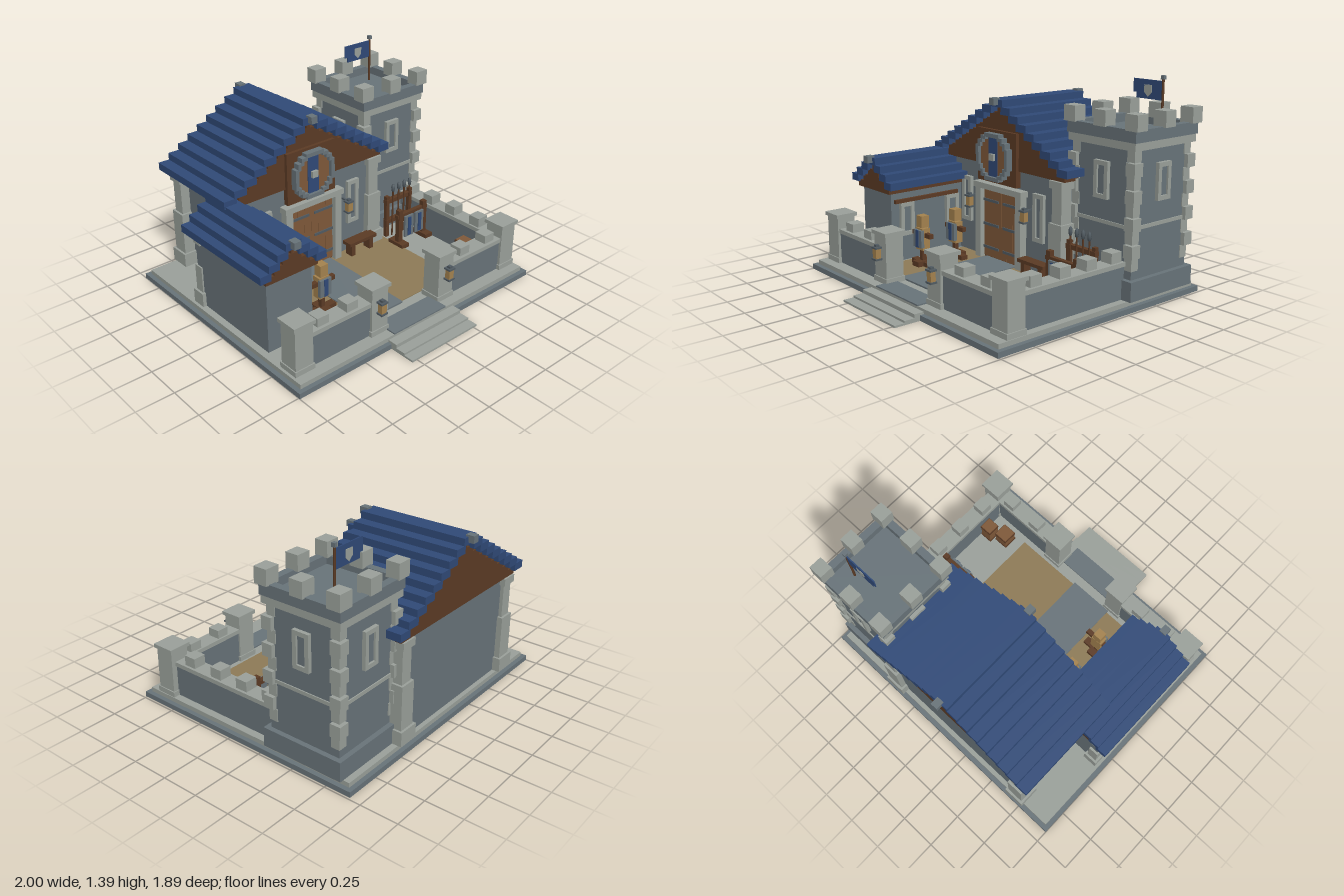
import * as THREE from 'three';

const mat = (name, color) => Object.assign(new THREE.MeshStandardMaterial({ color }), { name });

export function createModel() {
  const slate = mat('slate stone', 0x69747a), light = mat('light stone', 0x9ba19b);
  const blue = mat('blue tile', 0x304a78), brown = mat('dark timber', 0x5c3b25);
  const oak = mat('oak planks', 0x80593a), sand = mat('sandy ground', 0x8e7b57);
  const glow = mat('straw and lamp', 0xa5834f), iron = mat('iron', 0x525c63);

  const root = new THREE.Group();
  let part = root;
  const section = (name) => {
    part = new THREE.Group();
    part.name = name;
    root.add(part);
    return part;
  };
  const add = (name, geo, m, x = 0, y = 0, z = 0) => {
    const mesh = new THREE.Mesh(geo, m);
    mesh.name = name;
    mesh.position.set(x, y, z);
    part.add(mesh);
    return mesh;
  };
  // box from its limits on each axis
  const box = (name, m, x0, x1, y0, y1, z0, z1) =>
    add(name, new THREE.BoxGeometry(x1 - x0, y1 - y0, z1 - z0), m, (x0 + x1) / 2, (y0 + y1) / 2, (z0 + z1) / 2);
  // box from its centre on the ground plane and half sizes
  const block = (name, m, x, z, hx, hz, y0, y1) => box(name, m, x - hx, x + hx, y0, y1, z - hz, z + hz);
  const extrude = (pts, depth, hole) => {
    const s = new THREE.Shape(pts.map(p => new THREE.Vector2(...p)));
    if (hole) s.holes.push(new THREE.Path(hole.map(p => new THREE.Vector2(...p))));
    return new THREE.ExtrudeGeometry(s, { depth, bevelEnabled: false });
  };

  // ground slabs, yard and steps
  section('ground');
  box('lowerSlab', slate, -1, 0.985, 0, 0.035, -0.92, 0.76);
  box('upperSlab', light, -0.97, 0.955, 0.035, 0.065, -0.89, 0.73);
  box('yard', sand, -0.565, 0.525, 0.065, 0.07, -0.25, 0.5);
  box('path', slate, -0.28, 0.04, 0.065, 0.076, -0.25, 0.515);
  box('gateLanding', slate, -0.24, 0.21, 0.065, 0.074, 0.58, 0.732);
  [[0.94, 0.013], [0.87, 0.026], [0.8, 0.05]].forEach(([z, y]) => box('step', light, -0.29, 0.275, 0, y, 0.733, z));

  // stepped tile roof with a timber gable filling it
  const steppedRoof = (cx, top, half0, run, rise, n, z0, z1, base, g0, g1, inset) => {
    const side = [];
    for (let i = 0; i < n; i++) {
      const out = half0 + run * i, y = top - rise * i;
      if (i === 0) box('ridgeTiles', blue, cx - out, cx + out, y - 0.05, y, z0, z1);
      else for (const s of [-1, 1]) {
        block('tileRow', blue, cx + s * (out - run / 2 - 0.008), (z0 + z1) / 2, run / 2 + 0.008, (z1 - z0) / 2, y - 0.05, y);
      }
      side.push([out - inset, y - 0.04], [out - inset, y - 0.04 - (i < n - 1 ? rise : 0)]);
    }
    side[side.length - 1] = [side[side.length - 1][0], base];
    const pts = [...side, ...side.slice().reverse().map(([x, y]) => [-x, y])].reverse();
    add('gableTimber', extrude(pts, g1 - g0), brown, cx, 0, g0);
    for (const z of [z0 - 0.01, z1 + 0.01]) block('ridgeCap', slate, cx, z, 0.024, 0.028, top - 0.035, top + 0.012);
  };
  // wall pier with stepped foot and head
  const pier = (x, z, top, h) => {
    block('pierFoot', light, x, z, h + 0.015, h + 0.015, 0.065, 0.16);
    block('pierLower', light, x, z, h, h, 0.16, top * 0.62);
    block('pierUpper', light, x, z, h - 0.015, h - 0.015, top * 0.62, top - 0.05);
    block('pierHead', light, x, z, h, h, top - 0.05, top);
  };
  // framed window facing +z, turned by angle
  const windowAt = (x, y, z, w, h, angle = 0) => {
    const keep = part, g = new THREE.Group();
    g.name = 'window';
    keep.add(g);
    part = g;
    for (const s of [-1, 1]) {
      block('jamb', light, s * (w / 2 - 0.014), 0, 0.014, 0.02, -h / 2, h / 2);
      box('rail', light, -w / 2 + 0.028, w / 2 - 0.028, s * (h / 2 - 0.014) - 0.014, s * (h / 2 - 0.014) + 0.014, -0.02, 0.02);
    }
    box('pane', slate, -w / 2 + 0.028, w / 2 - 0.028, -h / 2 + 0.028, h / 2 - 0.028, 0, 0.007);
    g.position.set(x, y, z);
    g.rotation.y = angle;
    part = keep;
  };
  const lantern = (x, y, z) => {
    block('lampLight', glow, x, z, 0.02, 0.018, y - 0.035, y + 0.035);
    for (const s of [-1, 1]) block('lampPlate', iron, x, z, 0.026, 0.024, y + s * 0.038 - 0.006, y + s * 0.038 + 0.006);
    block('lampTop', iron, x, z, 0.012, 0.012, y + 0.044, y + 0.058);
    box('lampArm', iron, x - 0.006, x + 0.006, y + 0.03, y + 0.042, z - 0.07, z);
  };

  // main hall
  section('hall');
  box('hallWalls', slate, -0.68, 0.4, 0.065, 0.735, -0.86, -0.22);
  steppedRoof(-0.14, 1.187, 0.064, 0.077, 0.0465, 9, -0.915, -0.165, 0.73, -0.885, -0.195, 0.05);
  for (const x of [-0.7, 0.425]) for (const z of [-0.84, -0.235]) pier(x, z, 0.73, 0.058);
  windowAt(-0.495, 0.45, -0.215, 0.1, 0.32);
  windowAt(0.245, 0.45, -0.215, 0.1, 0.32);

  section('door');
  for (let i = 0; i < 6; i++) box('plank', oak, -0.3 + i * 0.06, -0.2415 + i * 0.06, 0.08, 0.565, -0.225, -0.2);
  box('doorBack', brown, -0.3, 0.06, 0.07, 0.565, -0.225, -0.206);
  for (const y of [0.145, 0.31, 0.48]) for (const [a, b] of [[-0.3, -0.145], [-0.1, 0.06]])
    box('hingeStrap', iron, a, b, y - 0.009, y + 0.009, -0.2, -0.193);
  for (const x of [-0.328, 0.085]) block('doorPost', light, x, -0.2, 0.027, 0.035, 0.065, 0.565);
  box('lintel', light, -0.365, 0.125, 0.565, 0.605, -0.24, -0.155);
  for (const x of [-0.4, 0.165]) lantern(x, 0.455, -0.15);

  // round crest panel above the door
  section('crest');
  box('crestBoard', brown, -0.335, 0.06, 0.62, 0.98, -0.21, -0.172);
  const corner = [[1, 0.45], [0.87, 0.45], [0.87, 0.68], [0.68, 0.68], [0.68, 0.87], [0.45, 0.87], [0.45, 1]];
  const disc = (r) => {
    const flip = corner.slice().reverse();
    return [...corner, ...flip.map(([x, y]) => [-x, y]), ...corner.map(([x, y]) => [-x, -y]), ...flip.map(([x, y]) => [x, -y])]
      .map(([x, y]) => [x * r, y * r]);
  };
  add('crestRim', extrude(disc(0.16), 0.05, disc(0.133)), slate, -0.14, 0.802, -0.175);
  add('crestField', extrude(disc(0.134), 0.025), oak, -0.14, 0.802, -0.175);
  box('crestStripe', blue, -0.187, -0.1, 0.67, 0.934, -0.15, -0.144);
  box('crestBoss', light, -0.163, -0.118, 0.78, 0.825, -0.15, -0.125);

  // side wing
  section('wing');
  box('wingWalls', slate, -0.925, -0.59, 0.065, 0.56, -0.35, 0.375);
  steppedRoof(-0.755, 0.78, 0.055, 0.062, 0.048, 4, -0.39, 0.425, 0.55, -0.37, 0.405, 0.05);
  box('sideBeam', brown, -0.6, -0.57, 0.475, 0.5, -0.18, 0.35);
  for (const z of [0.255, -0.13]) windowAt(-0.585, 0.36, z, 0.11, 0.23, Math.PI / 2);
  pier(-0.9, -0.33, 0.55, 0.035);

  // corner tower
  const tower = section('tower'), cx = 0, cz = 0;
  tower.position.set(0.698, 0, -0.565);
  block('towerFoot', slate, cx, cz, 0.283, 0.283, 0.065, 0.19);
  block('towerWalls', slate, cx, cz, 0.25, 0.25, 0.19, 1.05);
  block('stringCourse', light, cx, cz, 0.257, 0.257, 0.5, 0.523);
  for (const sx of [-1, 1]) for (const sz of [-1, 1]) for (let i = 0; i < 9; i++) {
    const h = i % 2 ? 0.036 : 0.03, edge = i % 2 ? 0.278 : 0.256;
    block('quoin', light, sx * (edge - h), sz * (edge - h), h, h, 0.245 + i * 0.0835, 0.327 + i * 0.0835);
  }
  for (const s of [-1, 1]) {
    windowAt(0, 0.775, s * 0.255, 0.115, 0.235, s > 0 ? 0 : Math.PI);
    windowAt(s * 0.255, 0.775, 0, 0.115, 0.235, s * Math.PI / 2);
    block('parapet', slate, 0, s * 0.258, 0.283, 0.025, 1.035, 1.11);
    block('parapet', slate, s * 0.258, 0, 0.025, 0.233, 1.035, 1.11);
  }
  block('cornice', light, cx, cz, 0.276, 0.276, 0.985, 1.036);
  block('towerDeck', slate, cx, cz, 0.234, 0.234, 1.036, 1.055);
  for (const i of [-1, 0, 1]) for (const k of [-1, 0, 1]) if (i || k)
    block('merlon', light, i * 0.254, k * 0.25, 0.049, 0.045, 1.105, 1.205);

  section('flag');
  add('pole', new THREE.CylinderGeometry(0.008, 0.008, 0.32, 8), brown, 0.83, 1.21, -0.685);
  block('finial', slate, 0.83, -0.685, 0.012, 0.012, 1.365, 1.39);
  add('cloth', extrude([[0.595, 1.27], [0.62, 1.27], [0.62, 1.235], [0.823, 1.235], [0.823, 1.355], [0.595, 1.355]], 0.008), blue, 0, 0, -0.689);
  add('shieldPatch', extrude([[-0.03, 0.035], [-0.03, -0.012], [0, -0.04], [0.03, -0.012], [0.03, 0.035]], 0.014), light, 0.715, 1.288, -0.692);

  // yard walls, posts and merlons
  section('yardWall');
  for (const [x0, x1] of [[-0.82, -0.35], [0.34, 0.82]]) {
    box('frontWall', slate, x0, x1, 0.065, 0.275, 0.54, 0.64);
    box('frontCoping', light, x0, x1, 0.275, 0.303, 0.53, 0.65);
  }
  box('sideWall', slate, 0.81, 0.905, 0.065, 0.275, -0.3, 0.53);
  box('sideCoping', light, 0.8, 0.915, 0.275, 0.303, -0.3, 0.53);
  for (const x of [-0.715, -0.49, 0.482, 0.722]) block('merlon', light, x, 0.585, 0.043, 0.043, 0.303, 0.36);
  for (const z of [0.41, 0.185, -0.03, -0.24]) block('merlon', light, 0.855, z, 0.043, 0.043, 0.303, 0.37);
  for (const x of [-0.88, -0.296, 0.278, 0.878]) {
    block('postFoot', light, x, 0.593, 0.072, 0.072, 0.065, 0.1);
    block('post', light, x, 0.593, 0.065, 0.065, 0.1, 0.38);
    block('postCap', light, x, 0.593, 0.078, 0.078, 0.378, 0.403);
  }
  for (const x of [-0.3, 0.285]) lantern(x, 0.262, 0.682);

  // training dummies
  for (const z of [-0.03, 0.245]) {
    section('trainingDummy').position.set(-0.41, 0, z);
    block('foot', brown, 0, 0, 0.1, 0.025, 0.07, 0.1);
    block('foot', brown, 0, 0, 0.035, 0.065, 0.07, 0.105);
    block('stake', brown, 0, 0, 0.015, 0.015, 0.1, 0.2);
    block('body', glow, 0, 0, 0.04, 0.03, 0.18, 0.33);
    block('armour', slate, 0, 0.034, 0.045, 0.012, 0.2, 0.32);
    block('armourStripe', blue, 0, 0.047, 0.015, 0.003, 0.2, 0.32);
    block('arms', brown, 0, 0, 0.1, 0.016, 0.27, 0.3);
    block('head', glow, 0, 0, 0.03, 0.03, 0.335, 0.415);
  }

  // bench by the hall wall
  section('bench');
  box('seat', brown, 0.145, 0.39, 0.155, 0.178, -0.19, -0.11);
  for (const x of [0.185, 0.35]) block('benchLeg', brown, x, -0.15, 0.017, 0.03, 0.07, 0.156);

  // spear rack and sword stand
  section('weaponRack');
  for (const y of [0.17, 0.33]) box('rackRail', brown, 0.54, 0.79, y, y + 0.03, -0.2, -0.165);
  for (const x of [0.555, 0.775]) block('rackPost', brown, x, -0.183, 0.014, 0.014, 0.065, 0.385);
  for (const x of [0.588, 0.643, 0.697, 0.75]) {
    add('spearShaft', new THREE.CylinderGeometry(0.006, 0.006, 0.36, 6), brown, x, 0.25, -0.157);
    const head = add('spearHead', new THREE.SphereGeometry(0.014, 6, 4), iron, x, 0.45, -0.157);
    head.scale.y = 2.4;
  }
  box('standRail', brown, 0.51, 0.8, 0.28, 0.305, -0.05, -0.02);
  for (const x of [0.537, 0.772]) {
    block('standFoot', brown, x, -0.035, 0.033, 0.07, 0.065, 0.095);
    block('standPost', brown, x, -0.035, 0.018, 0.018, 0.095, 0.34);
  }
  for (const x of [0.6, 0.7]) {
    block('shield', slate, x, -0.005, 0.04, 0.008, 0.13, 0.29);
    block('shieldStripe', blue, x, 0.006, 0.014, 0.003, 0.14, 0.28);
  }

  // crates
  section('crates');
  for (const [x, z, h, top] of [[0.65, 0.425, 0.048, 0.165], [0.76, 0.378, 0.042, 0.2]]) {
    block('crate', oak, x, z, h, h, 0.065, top);
    block('crateBand', brown, x, z, h + 0.004, h + 0.004, 0.065, 0.08);
    block('crateBand', brown, x, z, h + 0.004, h + 0.004, top - 0.02, top - 0.005);
  }
  return root;
}
